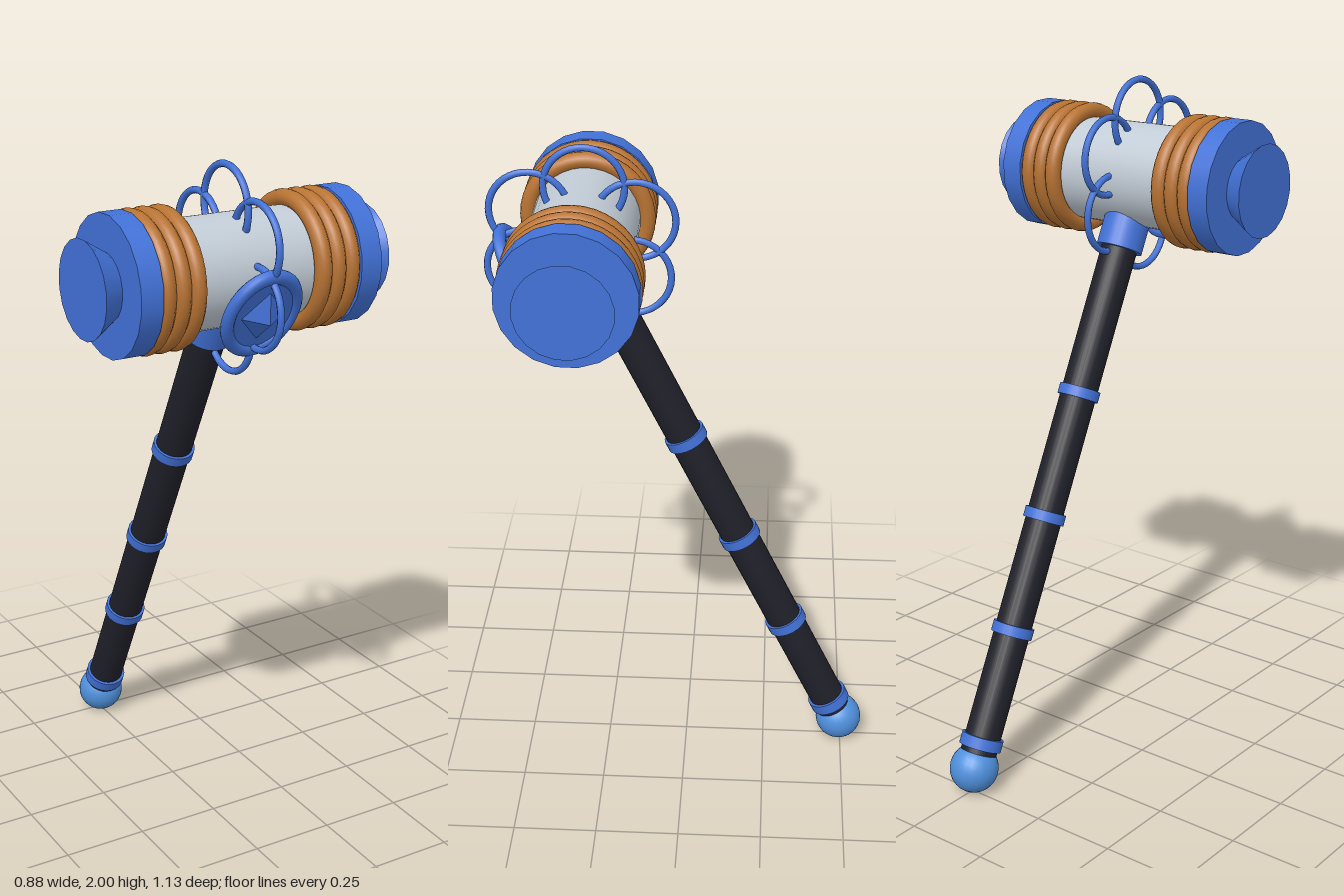
import * as THREE from 'three';

const mat = (name, color) => {
  const m = new THREE.MeshStandardMaterial({ color });
  m.name = name;
  return m;
};

export function createModel() {
  const blue = mat('royalBlue', 0x4272d8);
  const paleBlue = mat('paleBlue', 0x4f90dc);
  const copper = mat('copper', 0xb87333);
  const silver = mat('silver', 0xc2ccd6);
  const dark = mat('darkGrip', 0x20202a);

  const model = new THREE.Group();
  model.name = 'hammer';

  // Local frame: head centre at the origin, handle along -y
  const hammer = new THREE.Group();
  hammer.name = 'tiltedHammer';
  hammer.position.set(0, 1.714, 0.294);
  hammer.rotation.x = 0.447;
  model.add(hammer);

  const add = (name, geometry, material, parent = hammer) => {
    const mesh = new THREE.Mesh(geometry, material);
    mesh.name = name;
    parent.add(mesh);
    return mesh;
  };
  // Cylinder on the handle axis between two distances below the head centre
  const onHandle = (name, r, from, to, material) => {
    const m = add(name, new THREE.CylinderGeometry(r, r, to - from, 24), material);
    m.position.y = -(from + to) / 2;
    return m;
  };

  // Head barrel
  add('headBarrel', new THREE.CylinderGeometry(0.153, 0.153, 0.64, 32), silver).rotation.z = Math.PI / 2;

  // Rings, end discs and flared striking faces, mirrored
  for (const s of [1, -1]) {
    const side = new THREE.Group();
    side.name = s > 0 ? 'leftEnd' : 'rightEnd';
    side.rotation.z = -s * Math.PI / 2; // local +y points outwards
    hammer.add(side);
    for (let i = 0; i < 3; i++) {
      const ring = add('copperRing', new THREE.TorusGeometry(0.171, 0.024, 12, 40), copper, side);
      ring.rotation.x = Math.PI / 2;
      ring.position.y = 0.194 + i * 0.045;
    }
    add('endDisc', new THREE.CylinderGeometry(0.193, 0.193, 0.065, 20), blue, side).position.y = 0.3375;
    add('strikingFace', new THREE.CylinderGeometry(0.135, 0.092, 0.069, 20), blue, side).position.y = 0.4035;
  }

  // Six wire loops radiating around the middle of the head
  const loopGeometry = new THREE.TorusGeometry(0.112, 0.01, 8, 40);
  for (let i = 0; i < 6; i++) {
    const a = i * Math.PI / 3;
    const loop = add('wireLoop', loopGeometry, blue);
    loop.rotation.y = Math.PI / 2;
    loop.position.set(0, 0.169 * Math.sin(a), 0.169 * Math.cos(a));
  }

  // Oval medallion with a faceted gem
  const medallion = new THREE.Group();
  medallion.name = 'medallion';
  medallion.position.z = 0.19;
  medallion.scale.y = 1.2;
  hammer.add(medallion);
  add('medallionRim', new THREE.TorusGeometry(0.101, 0.018, 12, 40), blue, medallion);
  const plate = add('medallionPlate', new THREE.CylinderGeometry(0.1, 0.1, 0.02, 32), blue, medallion);
  plate.rotation.x = Math.PI / 2;
  const gem = add('medallionGem', new THREE.OctahedronGeometry(1), blue, medallion);
  gem.scale.set(0.085, 0.08, 0.05);

  // Handle, collars and pommel
  onHandle('handle', 0.054, 0.1, 1.8, dark);
  onHandle('headCollar', 0.069, 0.12, 0.232, blue);
  for (const d of [0.675, 1.052, 1.4]) onHandle('handleBand', 0.062, d - 0.016, d + 0.016, blue);
  onHandle('pommelCollar', 0.063, 1.722, 1.757, blue);
  add('pommel', new THREE.SphereGeometry(0.072, 24, 16), paleBlue).position.y = -1.819;

  return model;
}
